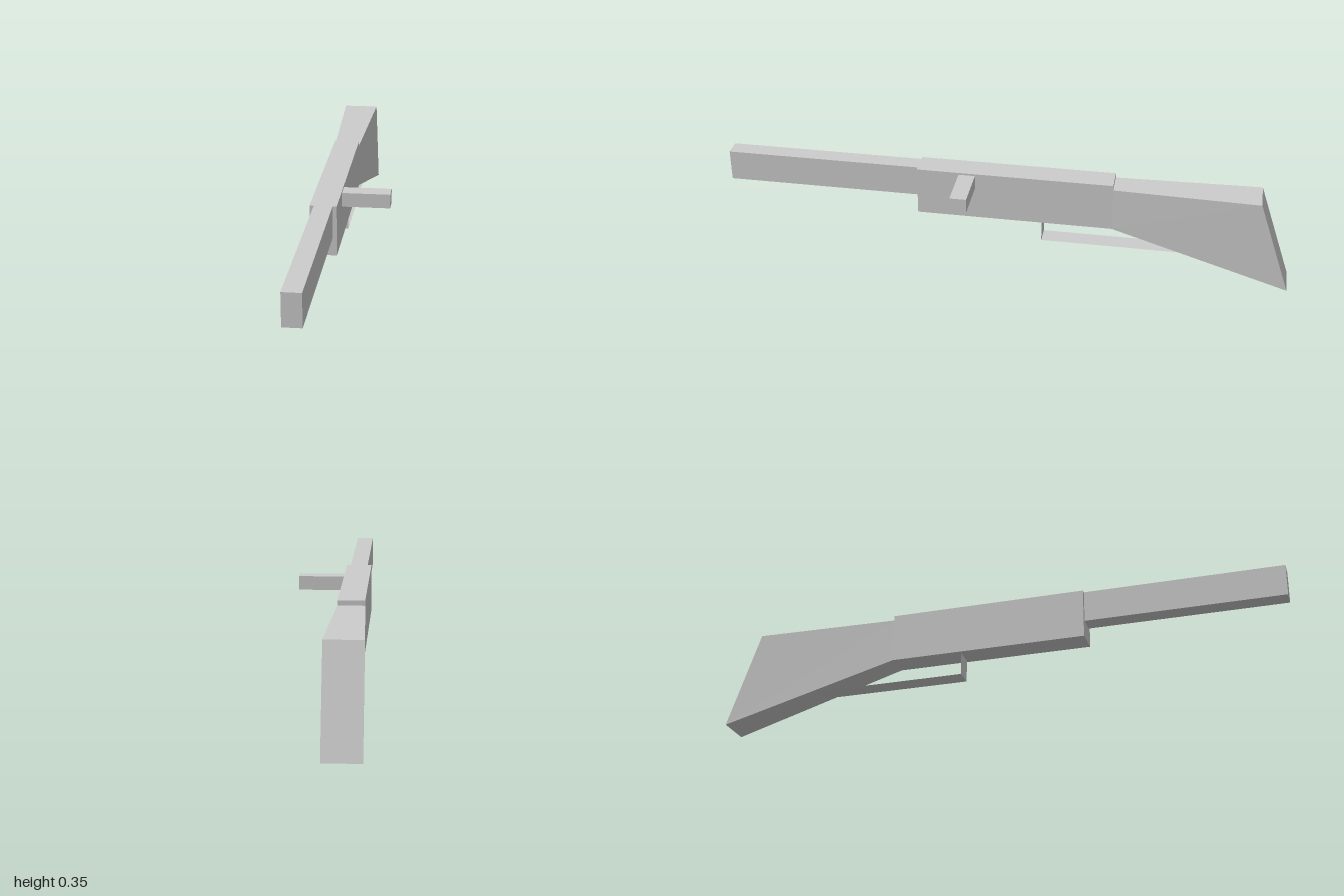
import * as THREE from 'three';

export function createModel() {
  const group = new THREE.Group();
  const grey = new THREE.MeshStandardMaterial({ color: 0xcccccc });
  grey.name = 'lightGrey';
  grey.flatShading = true;
  const thinGrey = grey.clone();
  thinGrey.name = 'lightGreyThin';
  thinGrey.side = THREE.DoubleSide;

  const add = (name, geometry, material = grey) => {
    const mesh = new THREE.Mesh(geometry, material);
    mesh.name = name;
    group.add(mesh);
    return mesh;
  };

  // Box given by its limits on each axis
  const block = (name, [x0, x1], [y0, y1], [z0, z1]) =>
    add(name, new THREE.BoxGeometry(x1 - x0, y1 - y0, z1 - z0))
      .position.set((x0 + x1) / 2, (y0 + y1) / 2, (z0 + z1) / 2);

  block('barrel', [-0.105, -0.043], [0.242, 0.352], [0.312, 1]);
  block('receiver', [-0.119, -0.029], [0.179, 0.352], [-0.378, 0.312]);
  block('sideHandle', [-0.029, 0.134], [0.296, 0.345], [0.105, 0.163]);

  // Stock: a box flared towards a slanted butt
  const stock = new THREE.BoxGeometry(1, 1, 1);
  const p = stock.attributes.position;
  for (let i = 0; i < p.count; i++) {
    const front = p.getZ(i) > 0, top = p.getY(i) > 0;
    const x = -0.074 + p.getX(i) * (front ? 0.09 : 0.124);
    const y = top ? 0.335 : front ? 0.179 : 0;
    const z = front ? -0.378 : top ? -0.885 : -1;
    p.setXYZ(i, x, y, z);
  }
  stock.computeVertexNormals();
  add('stock', stock);

  // Trigger guard: a thin upright plate and a strip running back to the stock
  const width = 0.066, guardFront = -0.13, guardBack = -0.655;
  add('guardFront', new THREE.PlaneGeometry(width, 0.08), thinGrey)
    .position.set(-0.074, 0.139, guardFront);
  const strip = add('guardStrip',
    new THREE.PlaneGeometry(width, guardFront - guardBack).rotateX(-Math.PI / 2), thinGrey);
  strip.position.set(-0.074, 0.099, (guardFront + guardBack) / 2);

  return group;
}
